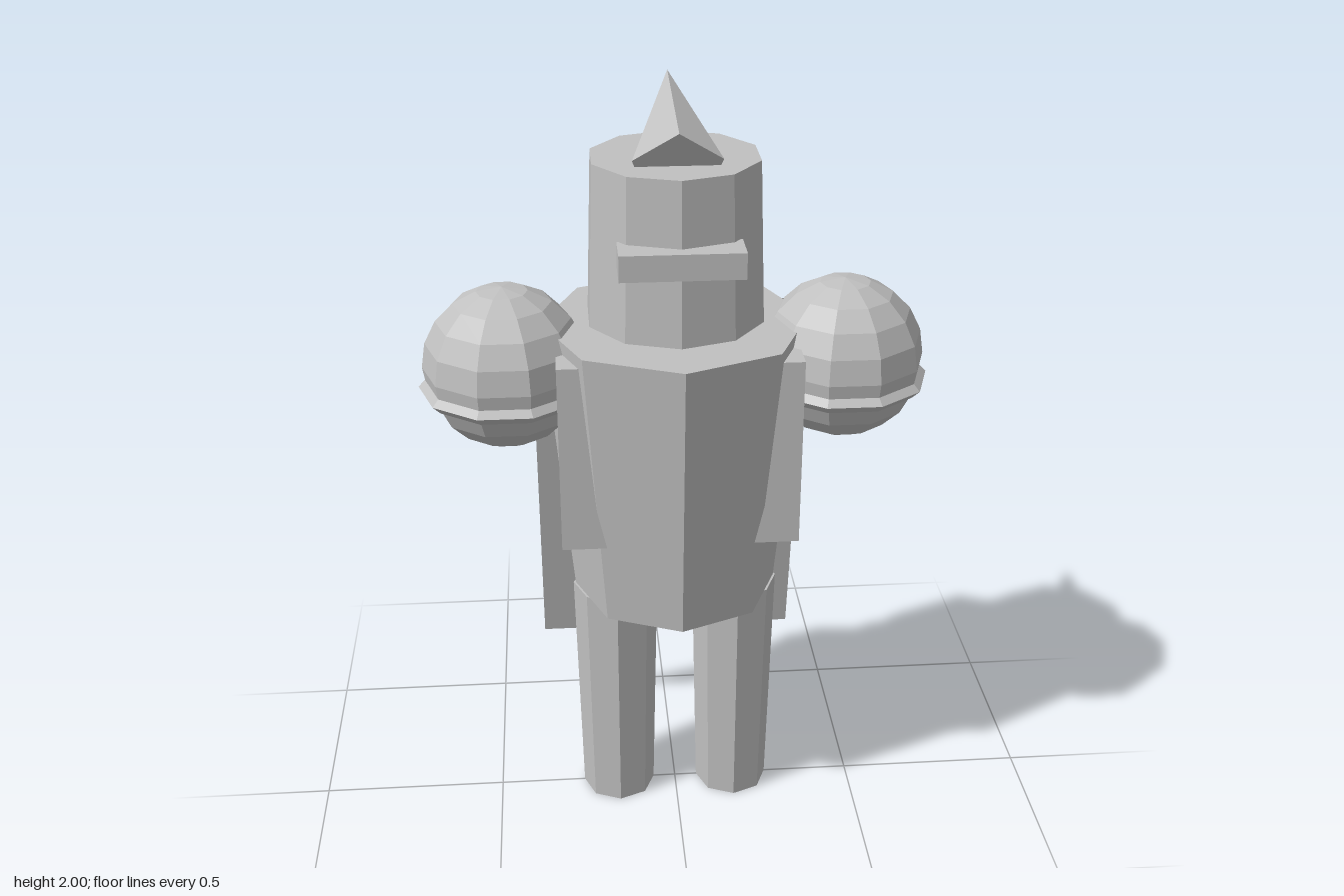
import * as THREE from 'three';

export function createModel() {
  const model = new THREE.Group();
  model.name = 'armouredFigure';
  const steel = new THREE.MeshStandardMaterial({ color: 0xc0c0c0, flatShading: true });
  steel.name = 'steel grey';
  const cloth = steel.clone(); // same grey, seen from both sides
  cloth.name = 'cape grey';
  cloth.side = THREE.DoubleSide;

  const add = (name, geometry, x, y, z, material = steel) => {
    const mesh = new THREE.Mesh(geometry, material);
    mesh.name = name;
    mesh.position.set(x, y, z);
    model.add(mesh);
    return mesh;
  };
  // Tapered prism standing between two heights
  const prism = (name, rTop, rBottom, y0, y1, sides, x = 0) =>
    add(name, new THREE.CylinderGeometry(rTop, rBottom, y1 - y0, sides), x, (y0 + y1) / 2, 0);

  // Body and helmet
  prism('torso', 0.34, 0.27, 0.67, 1.43, 8);
  prism('helmet', 0.213, 0.228, 1.445, 1.855, 10);
  add('visor', new THREE.BoxGeometry(0.3, 0.065, 0.1), 0, 1.66, 0.205);

  // Chest block showing at both sides of the torso
  add('sidePlates', new THREE.BoxGeometry(0.606, 0.5, 0.425), 0, 1.145, 0);

  // Plume swept backwards
  const plume = add('plume', new THREE.ConeGeometry(0.114, 0.37, 5), 0, 1.92, -0.078);
  plume.rotation.x = -1.125;

  // Flat cape, leaning out towards the hem
  const drop = 1.125, lean = 0.2;
  const cape = add('cape', new THREE.PlaneGeometry(0.73, Math.hypot(drop, lean)), 0, 0.8575, -0.25, cloth);
  cape.rotation.x = Math.atan2(lean, drop);

  for (const [side, s] of [['left', 1], ['right', -1]]) {
    prism(side + 'Leg', 0.114, 0.1, 0, 0.67, 8, s * 0.162);
    // Shoulder ball with a rim below its middle
    add(side + 'Shoulder', new THREE.SphereGeometry(0.21, 10, 10), s * 0.43, 1.32, 0);
    const rim = add(side + 'ShoulderRim', new THREE.TorusGeometry(0.2, 0.022, 4, 10), s * 0.43, 1.267, 0);
    rim.rotation.x = Math.PI / 2;
  }
  return model;
}
